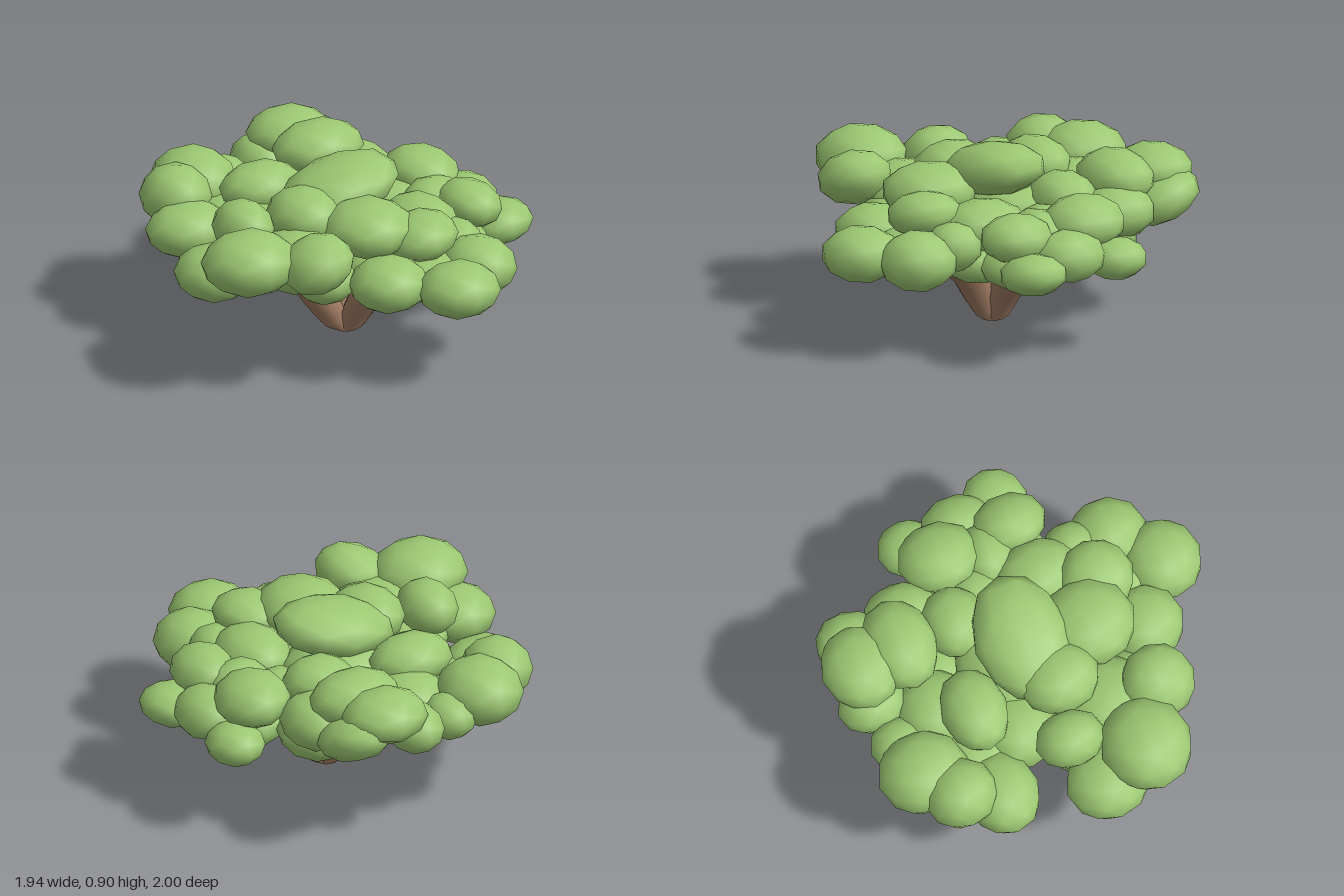
import * as THREE from 'three';

const bark = new THREE.MeshStandardMaterial({ color: 0x9c785f });
bark.name = 'bark brown';
const leaf = new THREE.MeshStandardMaterial({ color: 0x9cc872 });
leaf.name = 'leaf green';

// Tube whose rings are scaled about the path so that the limb swells, then tapers
function taperedLimb(points, radiusAt) {
  const curve = new THREE.CatmullRomCurve3(points.map(p => new THREE.Vector3(...p)));
  const rings = 10, sides = 9;
  const geo = new THREE.TubeGeometry(curve, rings, 1, sides, false);
  const pos = geo.attributes.position;
  const v = new THREE.Vector3();
  for (let i = 0; i <= rings; i++) {
    const centre = curve.getPointAt(i / rings);
    for (let j = 0; j <= sides; j++) {
      const k = i * (sides + 1) + j;
      v.fromBufferAttribute(pos, k).sub(centre).multiplyScalar(radiusAt(i / rings)).add(centre);
      pos.setXYZ(k, v.x, Math.max(v.y, 0), v.z);
    }
  }
  return geo;
}

// Foliage clumps: [x, y, z, rx, ry, rz, tilt about z, tilt about x]
const clumps = {
  crown: [
    [0.0, 0.75, -0.02, 0.31, 0.13, 0.23, 0.22, 0],
    [-0.24, 0.7, 0.08, 0.18, 0.13, 0.2],
    [0.0, 0.57, -0.1, 0.3, 0.14, 0.25],
    [0.23, 0.64, -0.28, 0.18, 0.12, 0.16],
    [0.33, 0.58, 0.2, 0.18, 0.13, 0.22],
    [-0.36, 0.53, -0.18, 0.2, 0.13, 0.19],
    [0.2, 0.46, 0.05, 0.24, 0.11, 0.2],
    [-0.2, 0.47, 0.02, 0.24, 0.12, 0.22],
    [0.36, 0.52, -0.12, 0.16, 0.13, 0.16],
  ],
  leftSide: [
    [-0.55, 0.68, 0.02, 0.14, 0.13, 0.17],
    [-0.77, 0.53, 0.13, 0.19, 0.13, 0.2],
    [-0.7, 0.66, 0.36, 0.235, 0.15, 0.22],
    [-0.42, 0.66, 0.53, 0.18, 0.13, 0.18, 0.35, 0],
    [-0.4, 0.57, 0.28, 0.23, 0.14, 0.23],
    [-0.3, 0.49, 0.4, 0.15, 0.11, 0.14],
    [-0.5, 0.5, 0.12, 0.2, 0.11, 0.2],
  ],
  front: [
    [-0.02, 0.68, 0.32, 0.22, 0.13, 0.23],
    [0.2, 0.64, 0.45, 0.18, 0.11, 0.18, 0.15, 0],
    [-0.06, 0.5, 0.6, 0.19, 0.13, 0.19],
    [0.22, 0.49, 0.8, 0.2, 0.13, 0.19],
    [0.44, 0.49, 0.6, 0.18, 0.14, 0.19, -0.1, 0],
    [0.42, 0.53, 0.4, 0.13, 0.12, 0.14],
    [0.1, 0.44, 0.3, 0.22, 0.11, 0.2],
    [0.36, 0.42, 0.24, 0.18, 0.1, 0.17],
    [0.2, 0.46, 0.55, 0.2, 0.11, 0.18],
  ],
  rightSide: [
    [0.63, 0.6, 0.16, 0.15, 0.11, 0.18, -0.2, 0],
    [0.8, 0.46, 0.15, 0.165, 0.1, 0.16, 0.12, 0],
    [0.58, 0.62, -0.23, 0.18, 0.12, 0.2, -0.15, 0],
    [0.73, 0.46, -0.33, 0.14, 0.1, 0.15],
    [0.74, 0.51, -0.07, 0.15, 0.12, 0.18, -0.2, 0],
    [0.52, 0.55, 0, 0.17, 0.14, 0.14],
    [0.55, 0.45, -0.15, 0.19, 0.12, 0.18],
    [0.55, 0.43, 0.12, 0.2, 0.1, 0.18],
  ],
  rear: [
    [0.2, 0.69, -0.58, 0.23, 0.13, 0.18],
    [0.16, 0.69, -0.8, 0.21, 0.12, 0.19],
    [0.31, 0.59, -0.77, 0.175, 0.11, 0.2, 0, 0.38],
    [0.0, 0.58, -0.8, 0.14, 0.12, 0.17],
    [0.38, 0.57, -0.5, 0.16, 0.13, 0.19],
    [0.32, 0.46, -0.42, 0.19, 0.13, 0.2],
    [0.08, 0.47, -0.48, 0.19, 0.11, 0.19],
  ],
  rearLeft: [
    [-0.43, 0.61, -0.7, 0.205, 0.155, 0.22],
    [-0.6, 0.62, -0.57, 0.17, 0.15, 0.18],
    [-0.64, 0.53, -0.37, 0.21, 0.13, 0.18],
    [-0.24, 0.67, -0.36, 0.21, 0.12, 0.16],
    [-0.23, 0.55, -0.75, 0.13, 0.11, 0.14],
    [-0.13, 0.56, -0.52, 0.2, 0.13, 0.19],
    [-0.4, 0.49, -0.42, 0.22, 0.13, 0.2],
  ],
};

export function createModel() {
  const tree = new THREE.Group();
  tree.name = 'spreadingTree';

  // Four limbs fan out from one foot
  const limbs = {
    leftLimb: [[0.05, 0, 0], [0.14, 0.17, -0.02], [0.25, 0.3, -0.04], [0.4, 0.37, -0.06], [0.52, 0.41, -0.08]],
    rightLimb: [[0.01, 0, 0], [-0.1, 0.18, -0.03], [-0.2, 0.32, -0.07], [-0.31, 0.42, -0.11], [-0.4, 0.48, -0.15]],
    frontLimb: [[0.04, 0, 0.02], [0.06, 0.16, 0.1], [0.11, 0.3, 0.2], [0.16, 0.37, 0.35], [0.2, 0.41, 0.48]],
    rearLimb: [[0.03, 0, -0.02], [0.03, 0.17, -0.1], [0.04, 0.31, -0.2], [0.07, 0.38, -0.34], [0.1, 0.43, -0.46]],
  };
  const radiusAt = t => 0.043 - 0.015 * t + 0.043 * Math.sin(Math.PI * Math.pow(t, 0.8));
  for (const [name, points] of Object.entries(limbs)) {
    const limb = new THREE.Mesh(taperedLimb(points, radiusAt), bark);
    limb.name = name;
    tree.add(limb);
  }

  // Closed foot under the limbs
  const foot = new THREE.Mesh(new THREE.CylinderGeometry(0.06, 0.055, 0.1, 9), bark);
  foot.name = 'trunkFoot';
  foot.position.set(0.03, 0.05, 0);
  tree.add(foot);

  // Flattened, coarse leaf blobs with smooth normals
  const blob = new THREE.IcosahedronGeometry(1.04, 1);
  for (const [name, list] of Object.entries(clumps)) {
    const group = new THREE.Group();
    group.name = name + 'Foliage';
    for (const [x, y, z, rx, ry, rz, tiltZ = 0, tiltX = 0] of list) {
      const mesh = new THREE.Mesh(blob, leaf);
      mesh.name = 'leafClump';
      mesh.position.set(x, y, z);
      mesh.scale.set(rx, ry, rz);
      mesh.rotation.set(tiltX, 0, tiltZ);
      group.add(mesh);
    }
    tree.add(group);
  }
  return tree;
}
